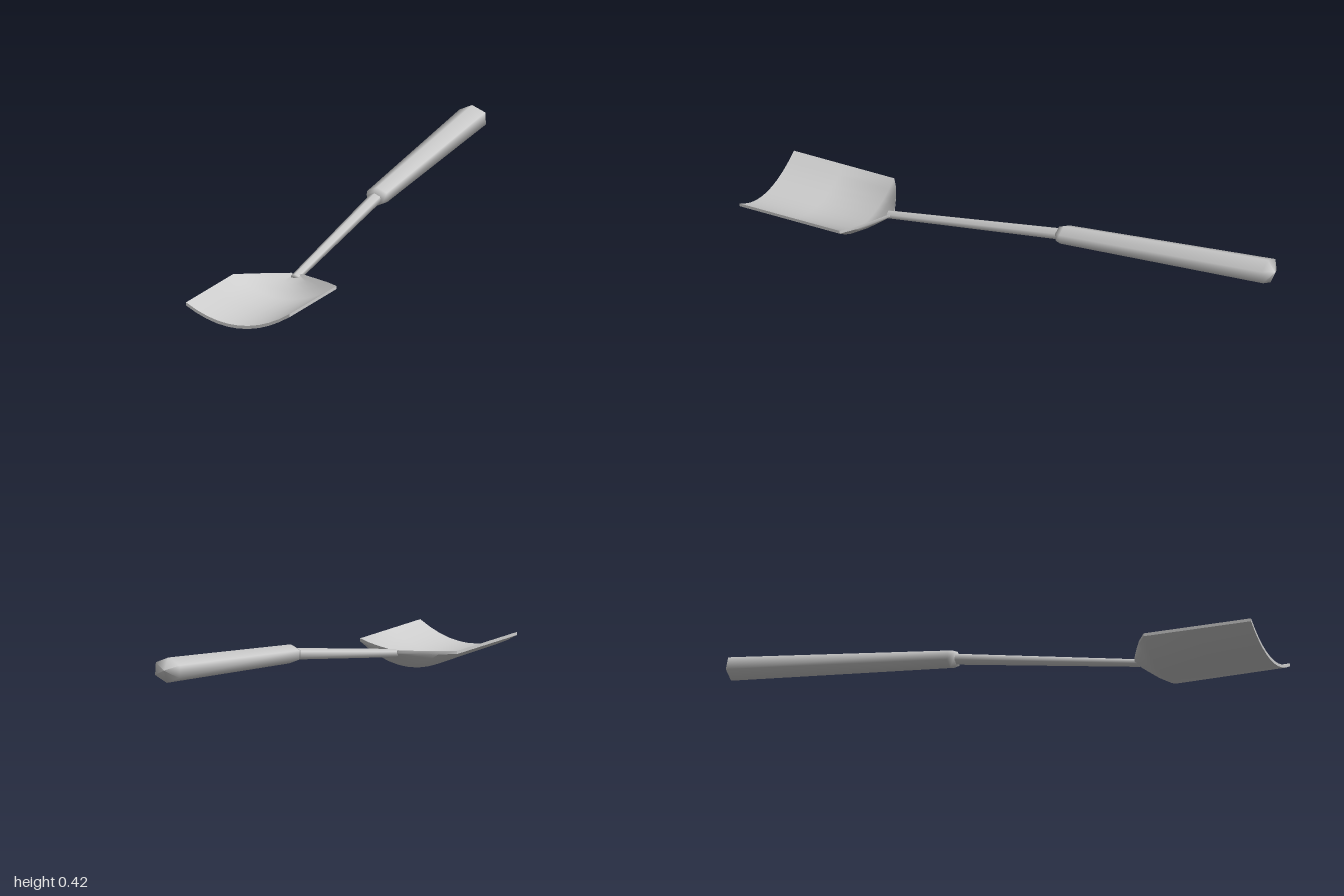
import * as THREE from 'three';
import { toCreasedNormals } from 'three/addons/utils/BufferGeometryUtils.js';

const material = new THREE.MeshStandardMaterial({ color: 0xcccccc });

// Six-sided tapered rod running from one point to another in the x-y plane.
// profile: [radius, fraction of length]; spread widens it sideways.
function rod(name, from, to, profile, spread) {
  const dx = to[0] - from[0], dy = to[1] - from[1];
  const length = Math.hypot(dx, dy);
  const points = profile.map(([r, t]) => new THREE.Vector2(r, t * length));
  const geometry = new THREE.LatheGeometry(points, 6, Math.PI / 2);
  geometry.scale(1, 1, spread);
  const mesh = new THREE.Mesh(geometry, material);
  mesh.name = name;
  mesh.position.set(from[0], from[1], 0);
  mesh.rotation.z = Math.atan2(dy, dx) - Math.PI / 2;
  return mesh;
}

// Dished blade: closed loft of curved slab sections.
function blade() {
  const thickness = 0.014, segments = 10;
  // [position along tool, half width, floor height, rim height]
  const sections = [
    [-1.16, 0.248, 0.024, 0.102],
    [-0.91, 0.248, 0.024, 0.106],
    [-0.66, 0.248, 0.024, 0.110],
    [-0.615, 0.183, 0.047, 0.110],
    [-0.575, 0.107, 0.075, 0.110],
    [-0.535, 0.024, 0.104, 0.111],
  ];
  const n = segments + 1, ring = 2 * n;
  const positions = [], index = [];
  for (const [x, half, floor, rim] of sections) {
    for (let k = 0; k < ring; k++) {
      const top = k < n;
      const u = ((top ? k : ring - 1 - k) / segments) * 2 - 1;
      positions.push(x, floor + (rim - floor) * u * u - (top ? 0 : thickness), half * u);
    }
  }
  // Skin
  for (let i = 0; i < sections.length - 1; i++) {
    for (let k = 0; k < ring; k++) {
      const a = i * ring + k, b = i * ring + (k + 1) % ring;
      index.push(a, b, a + ring, b, b + ring, a + ring);
    }
  }
  // Front lip and neck end
  const last = (sections.length - 1) * ring;
  for (let k = 0; k < segments; k++) {
    const t0 = k, t1 = k + 1, b0 = ring - 1 - k, b1 = ring - 2 - k;
    index.push(t0, b0, t1, t1, b0, b1);
    index.push(last + t0, last + t1, last + b0, last + t1, last + b1, last + b0);
  }
  const geometry = new THREE.BufferGeometry();
  geometry.setAttribute('position', new THREE.Float32BufferAttribute(positions, 3));
  geometry.setIndex(index);
  const mesh = new THREE.Mesh(toCreasedNormals(geometry, 0.7), material);
  mesh.name = 'blade';
  return mesh;
}

export function createModel() {
  const model = new THREE.Group();
  model.name = 'handShovel';

  // Tool is built along x, then turned onto the diagonal
  const tool = new THREE.Group();
  tool.name = 'tool';
  tool.rotation.y = Math.PI / 4;
  tool.position.set(-0.002, 0, -0.002);

  tool.add(blade());
  tool.add(rod('shaft', [-0.55, 0.093], [0.33, 0.254],
    [[0, 0], [0.018, 0], [0.026, 1], [0, 1]], 1.2));
  tool.add(rod('grip', [0.3, 0.25], [1.376, 0.374],
    [[0, 0], [0.034, 0], [0.042, 0.025], [0.056, 0.971], [0, 1]], 1.28));

  model.add(tool);
  return model;
}
